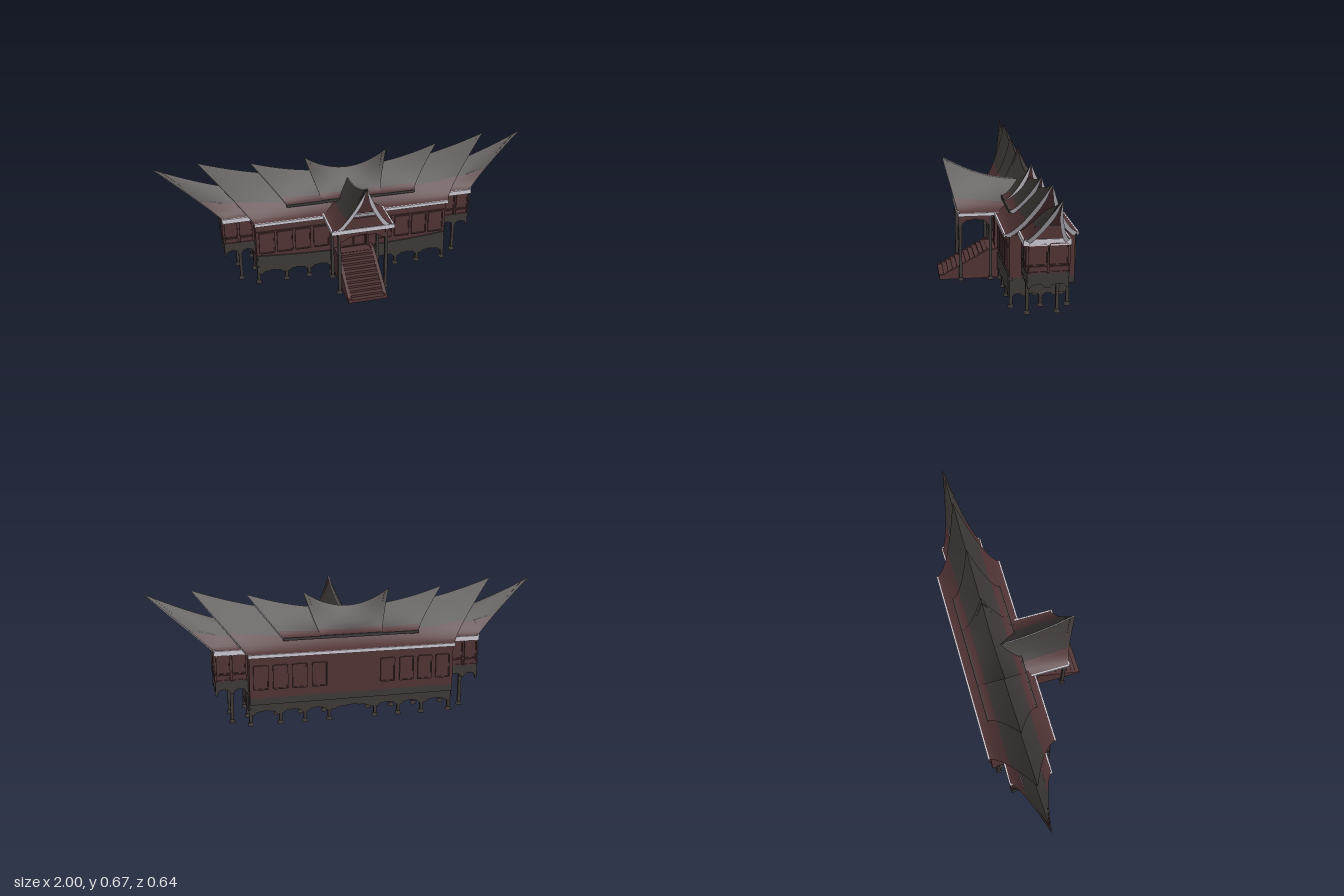
import * as THREE from 'three';

const material = (name, color) => {
  const m = new THREE.MeshStandardMaterial({ color, side: THREE.DoubleSide });
  m.name = name;
  return m;
};
const dark = material('dark thatch and timber', 0x3d3836);
const red = material('red brown wood', 0x503334);
const white = material('pale trim', 0xccc7d0);
const lerp = THREE.MathUtils.lerp;
const V = (x, y, z) => new THREE.Vector3(x, y, z);
const RIDGE_Z = -0.14;

function add(parent, name, geo, mat, x = 0, y = 0, z = 0) {
  const m = new THREE.Mesh(geo, mat);
  m.name = name;
  m.position.set(x, y, z);
  parent.add(m);
  return m;
}
// box given by its limits on each axis
const block = (parent, name, mat, x0, x1, y0, y1, z0, z1) =>
  add(parent, name, new THREE.BoxGeometry(Math.abs(x1 - x0), y1 - y0, Math.abs(z1 - z0)), mat,
    (x0 + x1) / 2, (y0 + y1) / 2, (z0 + z1) / 2);

// surface through equal rows of points
function surface(parent, name, rows, mat) {
  const n = rows[0].length, index = [];
  for (let i = 0; i < rows.length - 1; i++) for (let j = 0; j < n - 1; j++) {
    const a = i * n + j;
    index.push(a, a + n, a + 1, a + 1, a + n, a + n + 1);
  }
  const g = new THREE.BufferGeometry().setFromPoints(rows.flat());
  g.setIndex(index);
  g.computeVertexNormals();
  return add(parent, name, g, mat);
}
const steps = (a, b, n) => Array.from({ length: n + 1 }, (_, i) => lerp(a, b, i / n));

// saddle roof tier: ridge sweeps up to leaning pointed gables
function roofTier(name, t) {
  const g = new THREE.Group();
  g.name = name;
  const drop = w => 1 - Math.pow(1 - w, 1.6);
  const at = (u, w, s) => {
    const d = drop(w);
    return V(u * lerp(t.xp, t.xb, d), lerp(t.y0 + (t.yp - t.y0) * u * u, t.yb, d), s * t.half * w);
  };
  for (const e of t.ends) {
    const us = steps(t.u0 * e, e, 14);
    for (const s of [-1, 1]) {
      const part = (a, b, n) => steps(a, b, n).map(w => us.map(u => at(u, w, s)));
      surface(g, 'upperRoof', part(0, t.split, 7), dark);
      surface(g, 'lowerRoof', part(t.split, 1, 5), red);
      // pale board under the sloping gable edge
      surface(g, 'rakeBoard', steps(0, 1, 12).map(w => {
        const p = at(e, w, s), k = Math.min(1, w * 5);
        return [p, V(p.x - e * 0.006, p.y - 0.01 - 0.008 * k, p.z - s * 0.014 * k)];
      }), white);
      // eave fascia
      block(g, 'fascia', t.fascia, t.u0 * e * t.xb, e * t.xb, t.yb - t.fh, t.yb + 0.002,
        s * (t.half - 0.004), s * (t.half + 0.004));
    }
    const across = (w, x) => [-1, 1].map(s => {
      const p = at(e, w, s);
      return V(e * x, p.y - 0.006, p.z * 0.97);
    });
    const edge = w => lerp(t.xp, t.xb, drop(w));
    if (t.gable) {
      // leaning upper gable, pale underside band, small sloping apron, end fascia
      surface(g, 'gablePanel', steps(0.02, 0.45, 6).map(w => across(w, edge(w) - 0.025)), red);
      surface(g, 'gableBand', [across(0.45, edge(0.45) - 0.02), across(0.55, t.xb - 0.01)], white);
      surface(g, 'gableApron', steps(0.55, 1, 5).map(w => across(w, t.xb - 0.01 + 0.01 * drop(w))), red);
      block(g, 'endFascia', white, e * (t.xb - 0.004), e * (t.xb + 0.004), t.yb - t.fh, t.yb + 0.008, -t.half, t.half);
    } else {
      surface(g, 'gablePanel', steps(0.02, 1, 8).map(w => across(w, edge(w) - 0.02)), red);
    }
  }
  g.position.z = RIDGE_Z;
  return g;
}

// hanging board: scalloped bottom between the stops, gently curved top
function scallops(parent, name, mat, stops, yTop, yLow, rise, sag = 0) {
  const n = stops.length, a = stops[0], b = stops[n - 1], s = new THREE.Shape();
  s.moveTo(a, yLow);
  for (let i = 0; i < n - 1; i++) {
    const p = stops[i], q = stops[i + 1], w = q - p;
    s.lineTo(p + w * 0.12, yLow);
    s.quadraticCurveTo(p + w * 0.2, yLow + rise, p + w * 0.35, yLow + rise * 0.8);
    s.quadraticCurveTo(p + w * 0.5, yLow + rise * 1.3, q - w * 0.35, yLow + rise * 0.8);
    s.quadraticCurveTo(q - w * 0.2, yLow + rise, q - w * 0.12, yLow);
    s.lineTo(q, yLow);
  }
  for (const x of steps(b, a, 16)) s.lineTo(x, yTop + sag * (x / b) ** 2);
  return add(parent, name, new THREE.ExtrudeGeometry(s, { depth: 0.008, bevelEnabled: false, curveSegments: 5 }), mat);
}

// framed shutter facing +z with its back at z = 0
function shutter(parent, name, w, h, x, y, z, turn = 0) {
  const g = new THREE.Group(), b = 0.006;
  g.name = name;
  block(g, 'panel', red, -w / 2, w / 2, -h / 2, h / 2, -0.002, 0.004);
  for (const s of [-1, 1]) {
    block(g, 'stile', red, s * w / 2, s * (w / 2 - b), -h / 2, h / 2, 0, 0.009);
    block(g, 'rail', red, -w / 2 + b, w / 2 - b, s * h / 2 - b / 2, s * h / 2 + b / 2, 0, 0.009);
  }
  g.position.set(x, y, z);
  g.rotation.y = turn;
  parent.add(g);
}

// square post on a flared foot
function post(parent, x, z, top) {
  block(parent, 'post', dark, x - 0.008, x + 0.008, 0.01, top, z - 0.008, z + 0.008);
  const foot = add(parent, 'postFoot', new THREE.CylinderGeometry(0.011, 0.021, 0.018, 4), dark, x, 0.009, z);
  foot.rotation.y = Math.PI / 4;
}

export function createModel() {
  const model = new THREE.Group();
  model.name = 'longhouse';

  // nested roof tiers
  const both = { ends: [-1, 1], u0: 0, fascia: dark, fh: 0.012, split: 0.7 };
  model.add(roofTier('innerRoof', { ...both, xp: 0.225, yp: 0.64, xb: 0.16, yb: 0.44, half: 0.127, y0: 0.56 }));
  model.add(roofTier('middleRoof', { ...both, xp: 0.51, yp: 0.64, xb: 0.35, yb: 0.437, half: 0.128, y0: 0.55 }));
  model.add(roofTier('mainRoof', { ...both, xp: 0.78, yp: 0.672, xb: 0.53, yb: 0.372, half: 0.176, y0: 0.53,
    split: 0.5, fascia: white, fh: 0.015 }));
  model.add(roofTier('wingRoof', { ...both, xp: 1, yp: 0.662, xb: 0.685, yb: 0.385, half: 0.108, y0: 0.42,
    u0: 0.45, split: 0.5, fascia: white, fh: 0.023, gable: true }));
  const porchRoof = roofTier('porchRoof', { ...both, ends: [1], xp: 0.433, yp: 0.637, xb: 0.365, yb: 0.375,
    half: 0.163, y0: 0.51, split: 0.56, fascia: white, fh: 0.015, gable: true });
  porchRoof.rotation.y = -Math.PI / 2;
  model.add(porchRoof);
  const crest = new THREE.CatmullRomCurve3([V(0, 0.514, -0.08), V(0, 0.532, 0.04), V(0, 0.571, 0.16), V(0, 0.634, 0.288)]);
  add(model, 'porchRidgeCap', new THREE.TubeGeometry(crest, 12, 0.003, 5), white);

  // main hall
  block(model, 'hallWalls', red, -0.525, 0.525, 0.15, 0.366, -0.305, 0.013);
  block(model, 'hallFloor', dark, -0.525, 0.525, 0.115, 0.15, -0.305, 0.013);
  const bays = [0.12, 0.245, 0.37, 0.52];
  const allBays = [...bays.map(x => -x).reverse(), ...bays];
  scallops(model, 'backSkirt', dark, allBays, 0.15, 0.055, 0.018).position.z = -0.282;
  for (const s of [-1, 1]) {
    const front = scallops(model, 'frontSkirt', dark, bays, 0.145, 0.055, 0.018, 0.025);
    front.position.z = s > 0 ? 0.011 : 0.019;
    if (s < 0) front.rotation.y = Math.PI;
    const side = scallops(model, 'sideSkirt', dark, [-0.005, 0.06, 0.145, 0.205, 0.28], 0.15, 0.055, 0.014);
    side.rotation.y = Math.PI / 2;
    side.position.x = s > 0 ? 0.518 : -0.526;
    for (const x of bays) for (const z of [0.005, -0.14, -0.272]) post(model, s * x, z, 0.14);

    // shutters on both long walls
    for (const x of [0.175, 0.275, 0.372, 0.468]) {
      shutter(model, 'frontWindow', 0.084, 0.118, s * x, 0.243, 0.013);
      shutter(model, 'backWindow', 0.075, 0.118, s * x, 0.255, -0.305, Math.PI);
    }
    block(model, 'frontRail', red, s * 0.13, s * 0.525, 0.306, 0.312, 0.013, 0.018);

    // end wing
    const wing = new THREE.Group();
    wing.name = s > 0 ? 'leftWing' : 'rightWing';
    block(wing, 'wingWalls', red, s * 0.52, s * 0.68, 0.23, 0.382, -0.239, -0.05);
    block(wing, 'wingBase', dark, s * 0.52, s * 0.68, 0.185, 0.23, -0.239, -0.05);
    for (const z of [-0.054, -0.243]) {
      const w = scallops(wing, 'wingSkirt', dark, [0.525, 0.605, 0.685], 0.23, 0.165, 0.022);
      w.position.z = s > 0 ? z : z + 0.008;
      if (s < 0) w.rotation.y = Math.PI;
    }
    const end = scallops(wing, 'wingEndSkirt', dark, [0.048, 0.14, 0.243], 0.23, 0.155, 0.02);
    end.rotation.y = Math.PI / 2;
    end.position.x = s > 0 ? 0.678 : -0.686;
    for (const [z, turn] of [[-0.05, 0], [-0.239, Math.PI]]) for (const x of [0.567, 0.645]) {
      shutter(wing, 'wingWindow', 0.068, 0.104, s * x, 0.32, z, turn);
      shutter(wing, 'wingLowerPanel', 0.068, 0.026, s * x, 0.246, z, turn);
    }
    for (const z of [-0.097, -0.193]) {
      shutter(wing, 'endWindow', 0.09, 0.104, s * 0.68, 0.32, z, s * Math.PI / 2);
      shutter(wing, 'endLowerPanel', 0.09, 0.026, s * 0.68, 0.246, z, s * Math.PI / 2);
    }
    for (const z of [-0.06, -0.205]) post(wing, s * 0.605, z, 0.2);
    model.add(wing);

    // porch posts and arched side beam
    for (const z of [0.213, 0.055]) post(model, s * 0.125, z, 0.368);
    const beam = scallops(model, 'porchSideBeam', red, [-0.223, -0.047], 0.362, 0.303, 0.03);
    beam.rotation.y = Math.PI / 2;
    beam.position.x = s * 0.125 - 0.004;

    // stair side wall
    const prof = new THREE.Shape([[-0.325, 0], [-0.325, 0.025], [-0.305, 0.025], [-0.065, 0.157], [0.035, 0.157], [0.035, 0]]
      .map(p => new THREE.Vector2(...p)));
    const cheek = add(model, 'stairCheek', new THREE.ExtrudeGeometry(prof, { depth: 0.018, bevelEnabled: false }), red);
    cheek.rotation.y = Math.PI / 2;
    cheek.position.x = s > 0 ? 0.087 : -0.105;

    // double door leaf
    shutter(model, 'doorLeaf', 0.068, 0.145, s * 0.036, 0.232, 0.015);
    shutter(model, 'doorInset', 0.042, 0.07, s * 0.036, 0.255, 0.018);
    block(model, 'doorJamb', red, s * 0.074, s * 0.086, 0.155, 0.33, 0.013, 0.028);
  }
  scallops(model, 'porchFrontBeam', red, [-0.133, 0.133], 0.362, 0.31, 0.028).position.z = 0.209;
  scallops(model, 'doorHead', red, [-0.086, 0.086], 0.345, 0.308, 0.012).position.z = 0.013;

  // stair treads and risers, with landing
  const count = 10;
  for (let i = 0; i < count; i++) {
    const z = lerp(0.3, 0.065, i / count), y = lerp(0.018, 0.148, (i + 1) / count);
    block(model, 'tread', red, -0.088, 0.088, y - 0.005, y, z - 0.026, z + 0.002);
    block(model, 'riser', red, -0.088, 0.088, y - 0.015, y - 0.004, z - 0.004, z);
  }
  block(model, 'stairFoot', red, -0.088, 0.088, 0, 0.018, 0.296, 0.325);
  block(model, 'landing', red, -0.088, 0.088, 0.14, 0.15, -0.035, 0.068);
  return model;
}
